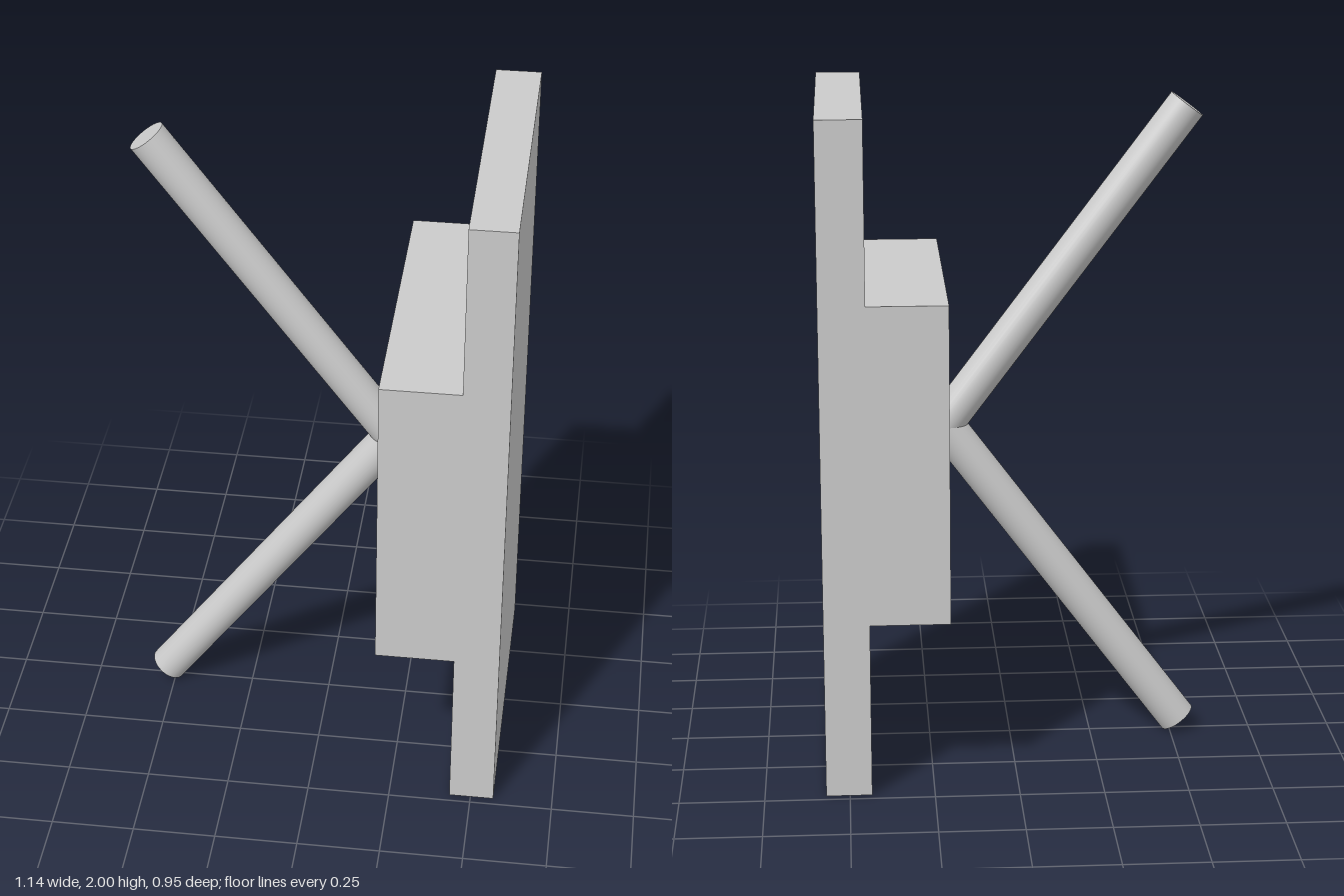
import * as THREE from 'three';

const material = new THREE.MeshStandardMaterial({ color: 0xcccccc });

function box(name, x0, x1, y0, y1, depth) {
  const mesh = new THREE.Mesh(new THREE.BoxGeometry(x1 - x0, y1 - y0, depth), material);
  mesh.position.set((x0 + x1) / 2, (y0 + y1) / 2, 0);
  mesh.name = name;
  return mesh;
}

// Round rod running between two points
function rod(name, from, to, radius) {
  const axis = to.clone().sub(from);
  const mesh = new THREE.Mesh(new THREE.CylinderGeometry(radius, radius, axis.length(), 32), material);
  mesh.position.copy(from).add(to).multiplyScalar(0.5);
  mesh.quaternion.setFromUnitVectors(new THREE.Vector3(0, 1, 0), axis.normalize());
  mesh.name = name;
  return mesh;
}

export function createModel() {
  const model = new THREE.Group();
  model.name = 'plateWithForkedRods';

  // Tall plate with a square block on its inner face
  model.add(box('plate', 0.435, 0.57, 0, 2, 0.95));
  model.add(box('block', 0.2, 0.435, 0.527, 1.473, 0.95));

  // Two mirrored rods that meet at the block and end just inside it
  for (const side of [1, -1]) {
    const tip = new THREE.Vector3(-0.524, 1 + side * 0.965, 0);
    const root = new THREE.Vector3(0.256, 1 - side * 0.077, 0);
    model.add(rod(side > 0 ? 'upperRod' : 'lowerRod', root, tip, 0.058));
  }
  return model;
}
